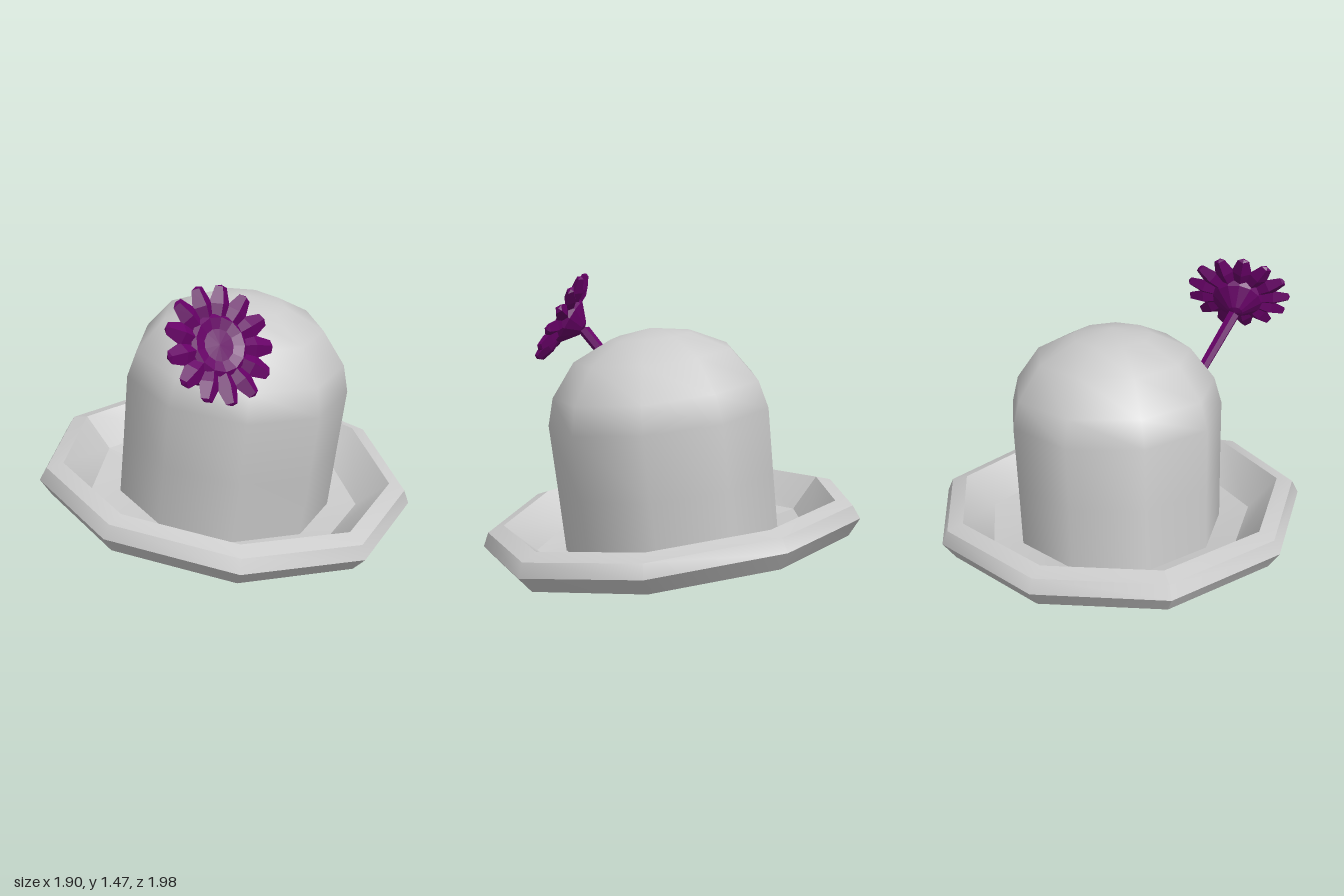
import * as THREE from 'three';

const SIDES = 9;
const grey = new THREE.MeshStandardMaterial({ color: 0xcccccc });
const purple = new THREE.MeshStandardMaterial({ color: 0x660066, flatShading: true });

function lathe(profile, sides, phiStart = 0) {
  const points = profile.map(([r, y]) => new THREE.Vector2(r, y));
  return new THREE.LatheGeometry(points, sides, phiStart);
}

function addMesh(parent, name, geometry, material) {
  const mesh = new THREE.Mesh(geometry, material);
  mesh.name = name;
  parent.add(mesh);
  return mesh;
}

// Curl the brim upward towards its two sides
function curl(geometry) {
  const p = geometry.attributes.position;
  for (let i = 0; i < p.count; i++) p.setY(i, p.getY(i) + 0.05 * p.getZ(i) ** 2);
  geometry.computeVertexNormals();
  return geometry;
}

// Tilted nine-sided hat: upturned brim and domed crown
function createHat() {
  const hat = new THREE.Group();
  hat.name = 'hat';

  // One lathe per band keeps the ridges between bands sharp
  const brim = new THREE.Group();
  brim.name = 'brim';
  hat.add(brim);
  const rings = [
    [0, 0], [0.92, 0.046], [0.985, 0.13], [0.953, 0.2],
    [0.868, 0.23], [0.712, 0.08], [0.54, 0.06],
  ];
  const names = ['underside', 'lowerEdge', 'upperEdge', 'rim', 'innerSlope', 'floor'];
  names.forEach((name, i) => {
    addMesh(brim, name, curl(lathe([rings[i], rings[i + 1]], SIDES, -Math.PI / 2)), grey);
  });

  const crown = lathe([
    [0.563, 0.06], [0.568, 0.4], [0.575, 0.73], [0.537, 0.87],
    [0.41, 1.04], [0.21, 1.135], [0, 1.172],
  ], SIDES, -Math.PI / 2).scale(1, 1, 0.98);
  // Level normals at the pole give a smooth top
  const { position, normal } = crown.attributes;
  for (let i = 0; i < position.count; i++) {
    if (position.getY(i) > 1.17) normal.setXYZ(i, 0, 1, 0);
  }
  addMesh(hat, 'crown', crown, grey);

  hat.position.set(0.015, 0.05, -0.027);
  hat.rotation.z = -0.113;
  return hat;
}

// Flower with its stem tucked into the crown
function createFlower() {
  const flower = new THREE.Group();
  flower.name = 'flower';
  const up = new THREE.Vector3(0, 1, 0);
  const facing = new THREE.Vector3(0.79, 0.5, 0.42).normalize();
  const center = new THREE.Vector3(0.37, 1.23, 0.735);

  // Stem
  const start = new THREE.Vector3(0.125, 0.915, 0.45);
  const end = new THREE.Vector3(0.265, 1.16, 0.675);
  const along = end.clone().sub(start);
  const stem = addMesh(flower, 'stem',
    new THREE.CylinderGeometry(0.032, 0.027, along.length(), 6), purple);
  stem.position.copy(start).add(end).multiplyScalar(0.5);
  stem.quaternion.setFromUnitVectors(up, along.normalize());

  // Head, built facing +y
  const head = new THREE.Group();
  head.name = 'head';
  head.position.copy(center);
  head.quaternion.setFromUnitVectors(up, facing);
  flower.add(head);

  addMesh(head, 'cup', lathe([
    [0, -0.135], [0.04, -0.125], [0.13, -0.05], [0.145, 0.0],
    [0.125, 0.015], [0.075, 0], [0, 0.005],
  ], 13), purple);

  // Diamond-section petals, spread in a shallow bowl
  const petalGeometry = lathe([
    [0, 0.07], [0.03, 0.08], [0.054, 0.19], [0.03, 0.27], [0, 0.28],
  ], 4).scale(1, 1, 0.65).rotateX(Math.PI / 2 - 0.16);
  petalGeometry.translate(0, -0.035, 0);
  const count = 13;
  for (let i = 0; i < count; i++) {
    const petal = addMesh(head, 'petal', petalGeometry, purple);
    petal.rotation.y = (i / count) * Math.PI * 2;
  }
  return flower;
}

export function createModel() {
  const model = new THREE.Group();
  model.name = 'hatWithFlower';
  model.add(createHat(), createFlower());
  return model;
}
